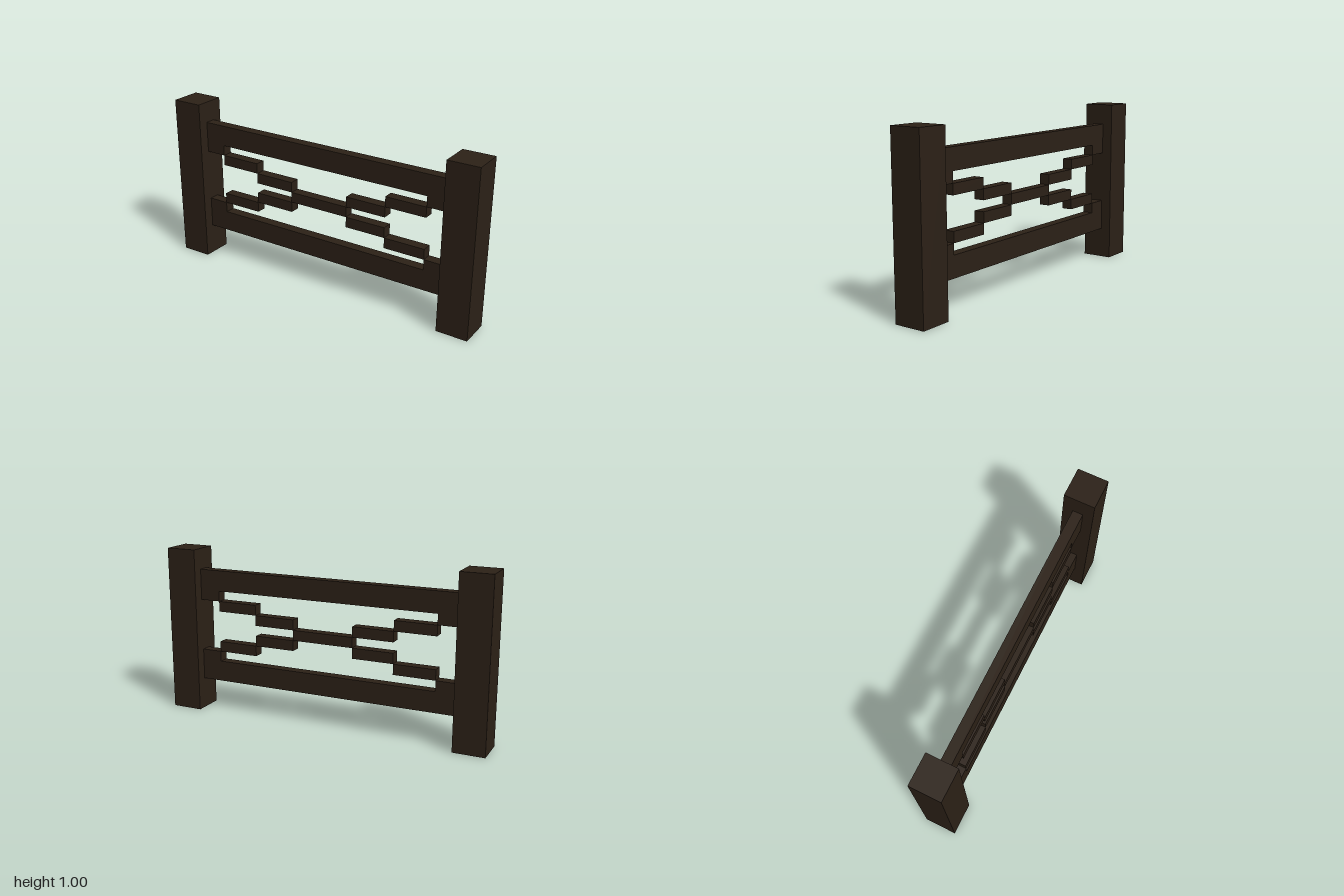
import * as THREE from 'three';

const U = 1 / 16; // everything sits on a grid of sixteenths

export function createModel() {
  const model = new THREE.Group();
  model.name = 'fence';
  const wood = new THREE.MeshStandardMaterial({ color: 0x2c2117, flatShading: true });

  // Box from grid bounds in x and y, centred on z
  function beam(name, x0, x1, y0, y1, depth = 1) {
    const geometry = new THREE.BoxGeometry((x1 - x0) * U, (y1 - y0) * U, depth * U);
    const mesh = new THREE.Mesh(geometry, wood);
    mesh.name = name;
    mesh.position.set((x0 + x1) / 2 * U, (y0 + y1) / 2 * U, 0);
    model.add(mesh);
  }

  // Horizontal rails and the bar where the lattice arms meet
  beam('lowerRail', -13, 13, 3, 5);
  beam('upperRail', -13, 13, 12, 14);
  beam('latticeCentre', -3, 3, 8, 9);

  for (const side of [-1, 1]) {
    const label = side > 0 ? 'left' : 'right';
    const mirrored = (name, a, b, y0, y1, depth) =>
      beam(label + name, Math.min(a * side, b * side), Math.max(a * side, b * side), y0, y1, depth);

    // Square end post
    mirrored('Post', 13, 16, 0, 16, 3);

    // Stepped arms running from the centre out to both rails
    [[3, 7], [7, 11], [11, 13]].forEach(([a, b], i) => {
      const part = i === 2 ? 'CornerBlock' : 'LatticeStep' + (i + 1);
      mirrored('Upper' + part, a, b, 9 + i, 10 + i);
      mirrored('Lower' + part, a, b, 7 - i, 8 - i);
    });
  }
  return model;
}
